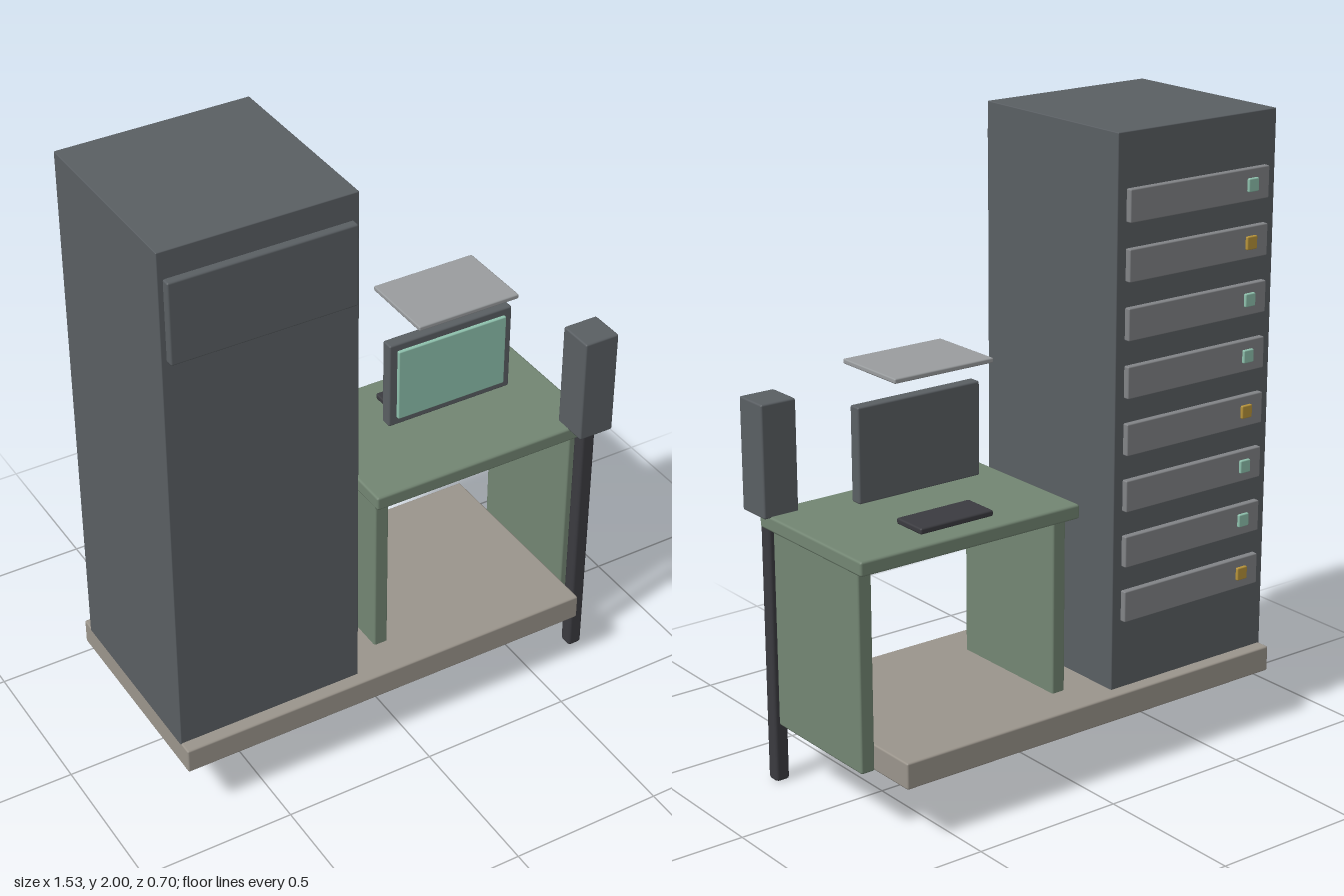
import * as THREE from 'three';
import { RoundedBoxGeometry } from 'three/addons/geometries/RoundedBoxGeometry.js';

const mat = (color) => new THREE.MeshStandardMaterial({ color });

export function createModel() {
  const model = new THREE.Group();
  const steel = mat(0x5a5f63);
  const desk = mat(0x738673);
  const stone = mat(0x9b958c);
  const dark = mat(0x3b3b40);
  const grey = mat(0x828487);
  const pale = mat(0x9a9d9f);
  const mint = mat(0x8fc2ae);
  const amber = mat(0xb8943a);

  // Softly bevelled box given by its extents along x, y and z
  function block(name, [x0, x1], [y0, y1], [z0, z1], material, bevel = 0.006) {
    const w = x1 - x0, h = y1 - y0, d = z1 - z0;
    const r = Math.min(bevel, Math.min(w, h, d) * 0.3);
    const mesh = new THREE.Mesh(new RoundedBoxGeometry(w, h, d, 1, r), material);
    mesh.position.set((x0 + x1) / 2, (y0 + y1) / 2, (z0 + z1) / 2);
    mesh.name = name;
    model.add(mesh);
    return mesh;
  }

  // Floor slab
  block('floorSlab', [-0.765, 0.652], [0.183, 0.267], [-0.352, 0.352], stone);

  // Tall cabinet with a raised front panel
  block('cabinet', [-0.765, -0.147], [0.25, 2.0], [-0.309, 0.309], steel, 0.003);
  block('frontPanel', [-0.748, -0.163], [1.65, 1.914], [0.3, 0.334], steel);

  // Rack units with indicator lights on the back of the cabinet
  for (let i = 0; i < 8; i++) {
    const y = 1.783 - i * 0.178;
    block('rackUnit', [-0.727, -0.181], [y - 0.05, y + 0.05], [-0.328, -0.304], grey, 0.004);
    block('indicatorLight', [-0.678, -0.637], [y - 0.021, y + 0.021], [-0.337, -0.32],
      i % 3 === 1 ? amber : mint, 0.004);
  }

  // Desk: top and two slab legs
  block('deskTop', [-0.053, 0.741], [0.835, 0.882], [-0.265, 0.263], desk, 0.008);
  for (const x of [-0.0105, 0.6985]) {
    block('deskLeg', [x - 0.0235, x + 0.0235], [0.203, 0.838], [-0.221, 0.221], desk);
  }

  // Monitor floating above the desk, with keyboard and sheet
  block('monitorCase', [0.124, 0.563], [0.94, 1.237], [-0.004, 0.037], steel);
  block('monitorScreen', [0.151, 0.537], [0.966, 1.213], [0.03, 0.048], mint, 0.004);
  block('keyboard', [0.212, 0.476], [0.88, 0.9], [-0.187, -0.064], dark);
  block('overheadSheet', [0.168, 0.521], [1.331, 1.347], [-0.132, 0.131], pale);

  // Post carrying a control box at the desk corner
  block('post', [0.675, 0.723], [0, 0.89], [0.242, 0.29], dark, 0.01);
  block('controlBox', [0.64, 0.76], [0.877, 1.231], [0.204, 0.324], steel);

  return model;
}
